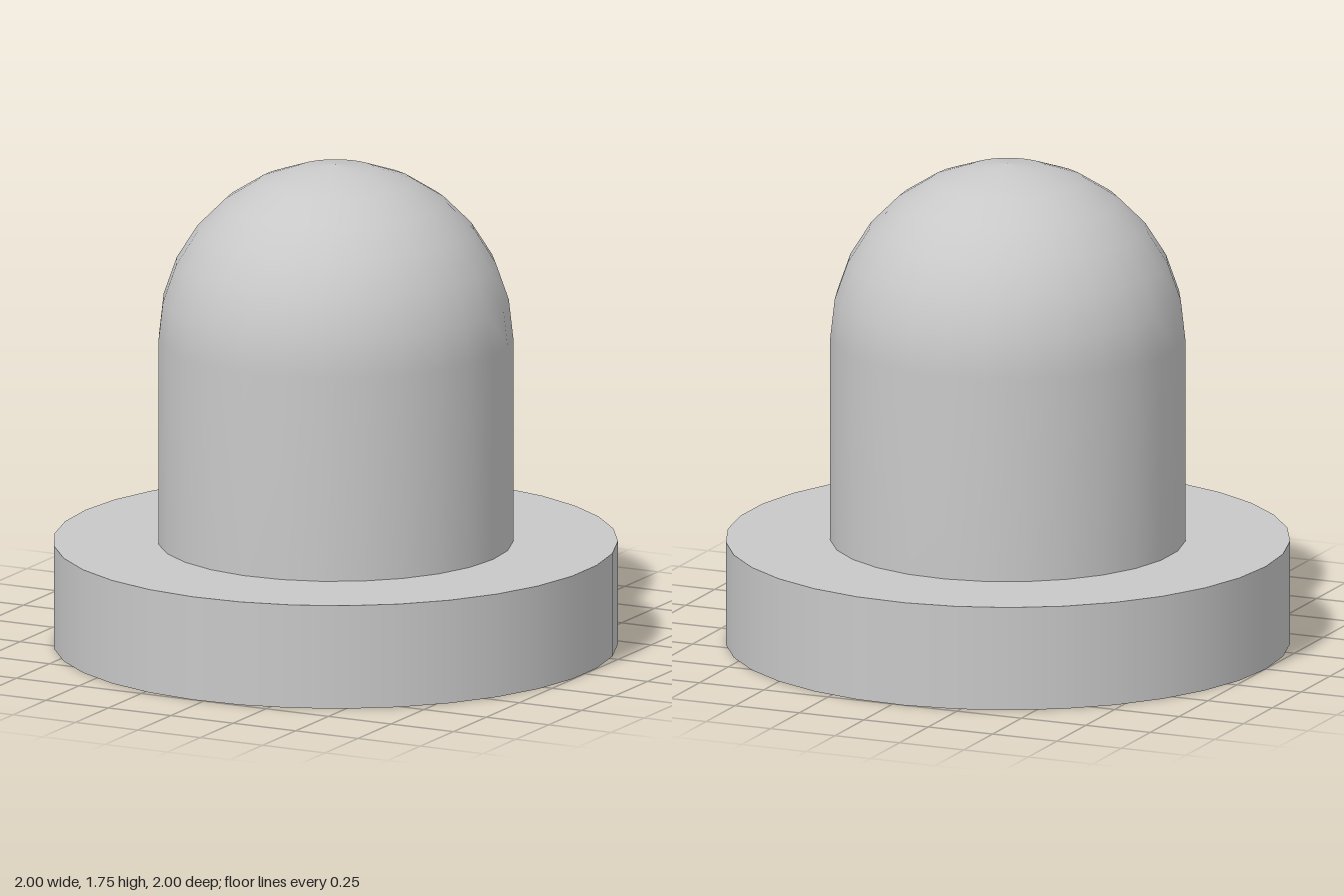
import * as THREE from 'three';

export function createModel() {
  const model = new THREE.Group();
  const grey = new THREE.MeshStandardMaterial({ color: 0xc8c8c8 });
  grey.name = 'light grey';

  // Round flange, standing on the ground
  const flangeHeight = 0.375;
  const flange = new THREE.Mesh(
    new THREE.CylinderGeometry(1.001, 1.001, flangeHeight, 33, 1, false, -Math.PI / 2), grey);
  flange.name = 'flange';
  flange.position.y = flangeHeight / 2;
  model.add(flange);

  // Straight post running smoothly into a hemispherical cap
  const radius = 0.63, capBase = 1.115, rings = 7;
  const profile = [new THREE.Vector2(radius, flangeHeight)];
  for (let i = 0; i <= rings; i++) {
    const a = (i / rings) * Math.PI / 2;
    const r = i === rings ? 0 : radius * Math.cos(a);
    profile.push(new THREE.Vector2(r, capBase + radius * Math.sin(a)));
  }
  const post = new THREE.Mesh(new THREE.LatheGeometry(profile, 27, Math.PI / 2), grey);
  post.name = 'domedPost';
  model.add(post);

  return model;
}
